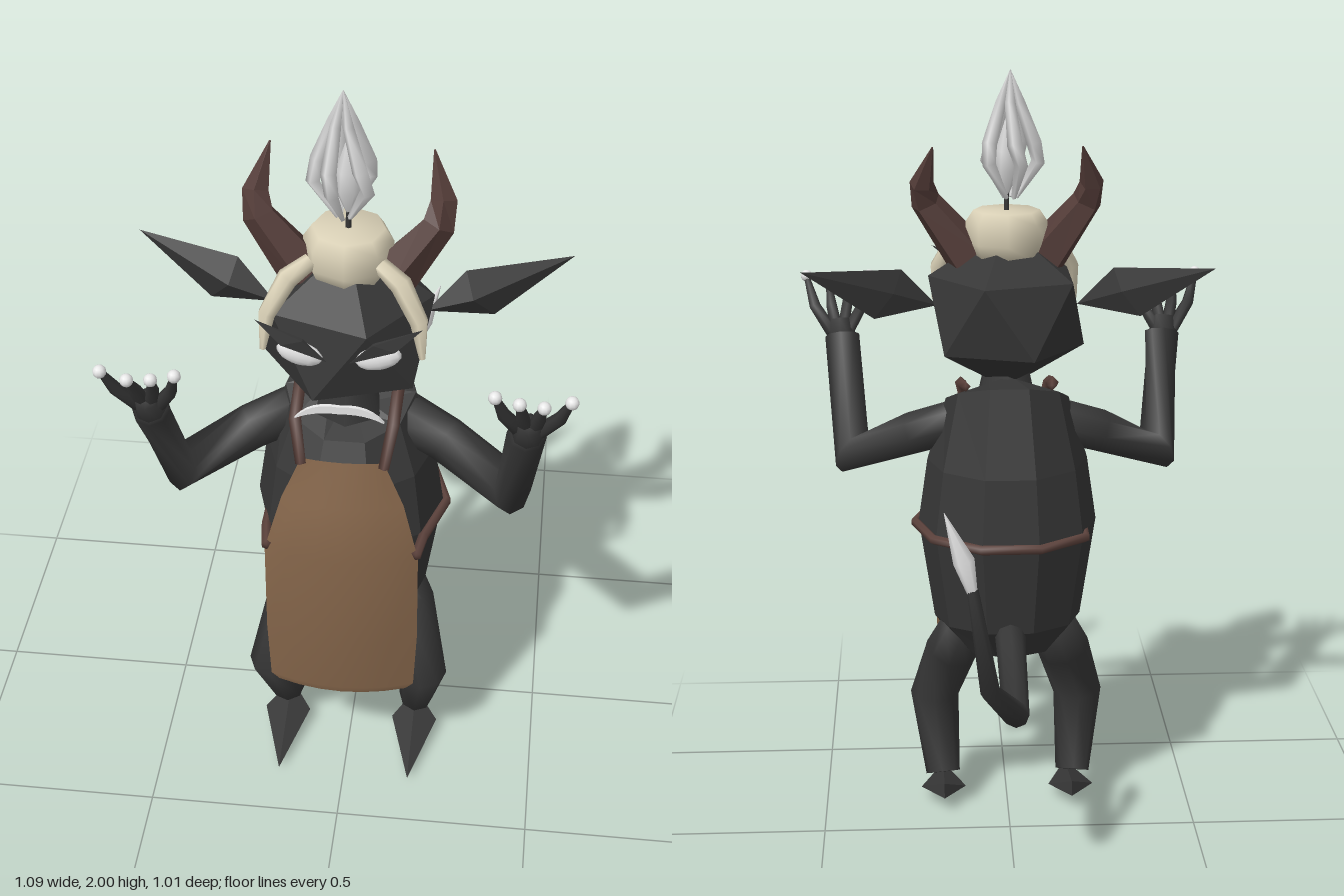
import * as THREE from 'three';
import { ConvexGeometry } from 'three/addons/geometries/ConvexGeometry.js';

const V = (x, y, z) => new THREE.Vector3(x, y, z);

function material(name, color, doubleSide = false) {
  const m = new THREE.MeshStandardMaterial({ color });
  m.name = name;
  if (doubleSide) m.side = THREE.DoubleSide;
  return m;
}

// Tapered limb: a ring of the given radius at every point of a path, capped at both ends
function limb(path, radii, sides = 8, ref = V(0, 0, 1), flat = false) {
  const pts = path.map((p) => V(...p));
  const pos = [], idx = [], n = pts.length;
  pts.forEach((p, i) => {
    const t = V(0, 0, 0);
    if (i > 0) t.add(p.clone().sub(pts[i - 1]).normalize());
    if (i < n - 1) t.add(pts[i + 1].clone().sub(p).normalize());
    t.normalize();
    const u = ref.clone().addScaledVector(t, -ref.dot(t)).normalize();
    const v = t.clone().cross(u);
    for (let j = 0; j < sides; j++) {
      const a = (j / sides) * Math.PI * 2;
      const q = p.clone().addScaledVector(u, Math.cos(a) * radii[i]).addScaledVector(v, Math.sin(a) * radii[i]);
      pos.push(q.x, q.y, q.z);
    }
  });
  for (let i = 0; i < n - 1; i++) {
    for (let j = 0; j < sides; j++) {
      const k = (j + 1) % sides;
      const a = i * sides + j, b = i * sides + k, c = a + sides, d = b + sides;
      idx.push(a, b, c, b, d, c);
    }
  }
  const s = n * sides, e = s + 1, last = (n - 1) * sides;
  pos.push(...path[0], ...path[n - 1]);
  for (let j = 0; j < sides; j++) {
    const k = (j + 1) % sides;
    idx.push(s, k, j, e, last + j, last + k);
  }
  let g = new THREE.BufferGeometry();
  g.setAttribute('position', new THREE.Float32BufferAttribute(pos, 3));
  g.setIndex(idx);
  if (flat) g = g.toNonIndexed();
  g.computeVertexNormals();
  return g;
}

const hull = (points) => new ConvexGeometry(points.map((p) => V(...p)));

export function createModel() {
  const model = new THREE.Group();
  const skin = material('charcoalSkin', 0x363636);
  const hornBrown = material('hornBrown', 0x523b37);
  const strapBrown = material('strapBrown', 0x5c423c);
  const leather = material('apronLeather', 0x836449, true);
  const wax = material('creamWax', 0xd9d0b6);
  const white = material('white', 0xeeeeee, true);
  const flameWhite = material('paleFlame', 0xd8d8d8, true);

  const add = (name, geometry, mat) => {
    const mesh = new THREE.Mesh(geometry, mat);
    mesh.name = name;
    model.add(mesh);
    return mesh;
  };

  // Faceted ten-sided barrel body
  add('body', limb(
    [[0, 0.47, 0.14], [0, 0.56, 0.155], [0, 0.83, 0.155], [0, 1.0, 0.155], [0, 1.165, 0.155], [0, 1.18, 0.17]],
    [0.12, 0.195, 0.235, 0.21, 0.16, 0.06], 10, V(1, 0, 0), true), skin);
  add('neck', new THREE.CylinderGeometry(0.06, 0.09, 0.12, 6), skin).position.set(0, 1.2, 0.19);

  // Twenty-faced head
  const headPoints = [[0, 1.61, 0.195], [0, 1.18, 0.195]];
  for (let i = 0; i < 5; i++) {
    const a = (i / 5) * Math.PI * 2;
    const x = Math.cos(a) * 0.202, z = Math.sin(a) * 0.202;
    headPoints.push([x, 1.48, 0.195 + z], [-x, 1.295, 0.195 - z]);
  }
  add('head', hull(headPoints), skin);

  // Candle, wick and flame
  add('candle', limb(
    [[0, 1.53, 0.19], [0, 1.57, 0.19], [0, 1.62, 0.19], [0, 1.65, 0.19]],
    [0.09, 0.105, 0.105, 0.085], 8, V(1, 0, 0)), wax);
  add('wick', new THREE.CylinderGeometry(0.006, 0.008, 0.07, 6), skin).position.set(0, 1.675, 0.19);
  add('flameCore', limb(
    [[0, 1.69, 0.19], [0, 1.75, 0.19], [0, 1.8, 0.19], [0, 1.88, 0.19]],
    [0.006, 0.032, 0.028, 0.003], 6, V(1, 0, 0)), flameWhite);
  for (let i = 0; i < 5; i++) {
    const path = [[0.015, 1.68], [0.07, 1.77], [0.06, 1.82], [0.025, 1.92], [0, 2]].map(([r, y], k) => {
      const a = (i / 5) * Math.PI * 2 + 0.4 + k * 0.2;
      return [-0.01 + Math.cos(a) * r, y, 0.195 + Math.sin(a) * r];
    });
    add('flameTongue', limb(path, [0.006, 0.018, 0.02, 0.014, 0.001], 4, V(1, 0, 0.3)), flameWhite);
  }

  for (const s of [1, -1]) {
    const m = (list) => list.map(([x, y, z]) => [x * s, y, z]);

    // Wax drips, horns and leaf-shaped ears
    add('waxDrip', limb(m([[0.08, 1.59, 0.25], [0.13, 1.56, 0.28], [0.175, 1.48, 0.31], [0.185, 1.39, 0.325]]),
      [0.02, 0.026, 0.022, 0.008], 6), wax);
    add('horn', limb(m([[0.1, 1.53, 0.2], [0.205, 1.67, 0.19], [0.215, 1.72, 0.165], [0.187, 1.82, 0.115]]),
      [0.062, 0.04, 0.032, 0.002], 5, V(0, 0, 1), true), hornBrown);
    add('ear', hull(m([[0.18, 1.41, 0.16], [0.27, 1.51, 0.13], [0.34, 1.385, 0.12], [0.52, 1.52, 0.055],
      [0.29, 1.45, 0.165], [0.29, 1.45, 0.115]])), skin);

    // Slanted eyes and brows
    const eye = add('eye', new THREE.SphereGeometry(1, 12, 8), white);
    eye.scale.set(0.055, 0.03, 0.018);
    eye.position.set(0.09 * s, 1.43, 0.388);
    eye.rotation.z = 0.3 * s;
    add('brow', hull(m([[0.025, 1.425, 0.41], [0.08, 1.48, 0.412], [0.19, 1.52, 0.395], [0.13, 1.465, 0.412],
      [0.08, 1.48, 0.402], [0.13, 1.465, 0.402]])), skin);

    // Raised arm and ball-tipped fingers
    add('arm', limb(m([[0.13, 1.1, 0.16], [0.24, 1.06, 0.2], [0.41, 0.98, 0.28], [0.435, 1.27, 0.425]]),
      [0.06, 0.058, 0.06, 0.046], 8), skin);
    add('palm', limb(m([[0.435, 1.25, 0.415], [0.44, 1.31, 0.44]]), [0.042, 0.03], 8), skin);
    [[0.53, 1.42], [0.47, 1.4], [0.415, 1.405], [0.36, 1.42]].forEach(([x, y]) => {
      const root = 0.44 + (x - 0.44) * 0.25, mid = 0.44 + (x - 0.44) * 0.75;
      add('finger', limb(m([[root, 1.28, 0.425], [mid, 1.345, 0.455], [x, y, 0.492]]),
        [0.018, 0.016, 0.008], 6), skin);
      add('fingertip', new THREE.SphereGeometry(0.016, 10, 8), white).position.set(x * s, y, 0.494);
    });

    // Bent leg and pointed foot
    add('leg', limb(m([[0.12, 0.55, 0.11], [0.15, 0.47, 0.14], [0.198, 0.295, 0.24], [0.178, 0.1, 0.14]]),
      [0.06, 0.07, 0.066, 0.046], 8), skin);
    add('foot', hull(m([[0.175, 0.015, 0.37], [0.115, 0.04, 0.17], [0.238, 0.04, 0.17],
      [0.175, 0.082, 0.1], [0.175, 0.045, 0.085], [0.175, 0, 0.2]])), skin);

    // Shoulder strap
    add('shoulderStrap', limb(m([[0.1, 1.07, 0.345], [0.118, 1.17, 0.3], [0.12, 1.2, 0.17], [0.11, 1.22, 0.06]]),
      [0.013, 0.015, 0.015, 0.013], 4, V(1, 0, 0)), strapBrown);
  }

  // Downturned mouth
  const mouth = new THREE.Shape();
  mouth.moveTo(-0.105, 1.245);
  mouth.quadraticCurveTo(-0.07, 1.295, 0, 1.285);
  mouth.quadraticCurveTo(0.07, 1.295, 0.105, 1.245);
  mouth.quadraticCurveTo(0.06, 1.27, 0, 1.265);
  mouth.quadraticCurveTo(-0.06, 1.27, -0.105, 1.245);
  add('mouth', new THREE.ExtrudeGeometry(mouth, { depth: 0.009, bevelEnabled: false, curveSegments: 6 }), white)
    .position.z = 0.384;

  // Curved leather apron: rows of height, half width, middle depth and edge depth
  const rows = [[1.08, 0.1, 0.345, 0.335], [0.96, 0.15, 0.38, 0.345], [0.82, 0.19, 0.417, 0.375],
    [0.55, 0.192, 0.415, 0.37], [0.38, 0.185, 0.405, 0.37], [0.36, 0.165, 0.4, 0.37]];
  const apron = new THREE.PlaneGeometry(2, 1, 6, rows.length - 1);
  const p = apron.attributes.position;
  for (let i = 0; i < p.count; i++) {
    const [y, w, mid, edge] = rows[Math.floor(i / 7)];
    const u = p.getX(i);
    p.setXYZ(i, u * w, y, mid + (edge - mid) * u * u);
  }
  apron.computeVertexNormals();
  add('apron', apron, leather);

  // Waist tie running round the back from one apron edge to the other
  const tie = [[0.185, 0.83, 0.378]];
  for (let i = 0; i < 6; i++) {
    const a = THREE.MathUtils.degToRad(36 - i * 36);
    tie.push([Math.cos(a) * 0.243, 0.825, 0.155 + Math.sin(a) * 0.243]);
  }
  tie.push([-0.197, 0.825, 0.298], [-0.185, 0.83, 0.378]);
  add('waistTie', limb(tie, tie.map(() => 0.013), 6, V(0, 1, 0)), strapBrown);

  // Tail and its pale tuft
  add('tail', limb([[0, 0.58, 0.02], [0, 0.545, -0.08], [0, 0.475, -0.31], [0.07, 0.615, -0.482], [0.11, 0.87, -0.472]],
    [0.042, 0.038, 0.034, 0.024, 0.014], 8, V(1, 0, 0)), skin);
  add('tailTuft', limb([[0.11, 0.86, -0.472], [0.13, 0.94, -0.465], [0.175, 1.06, -0.465]],
    [0.012, 0.026, 0.001], 6, V(1, 0, 0)), white);

  return model;
}
